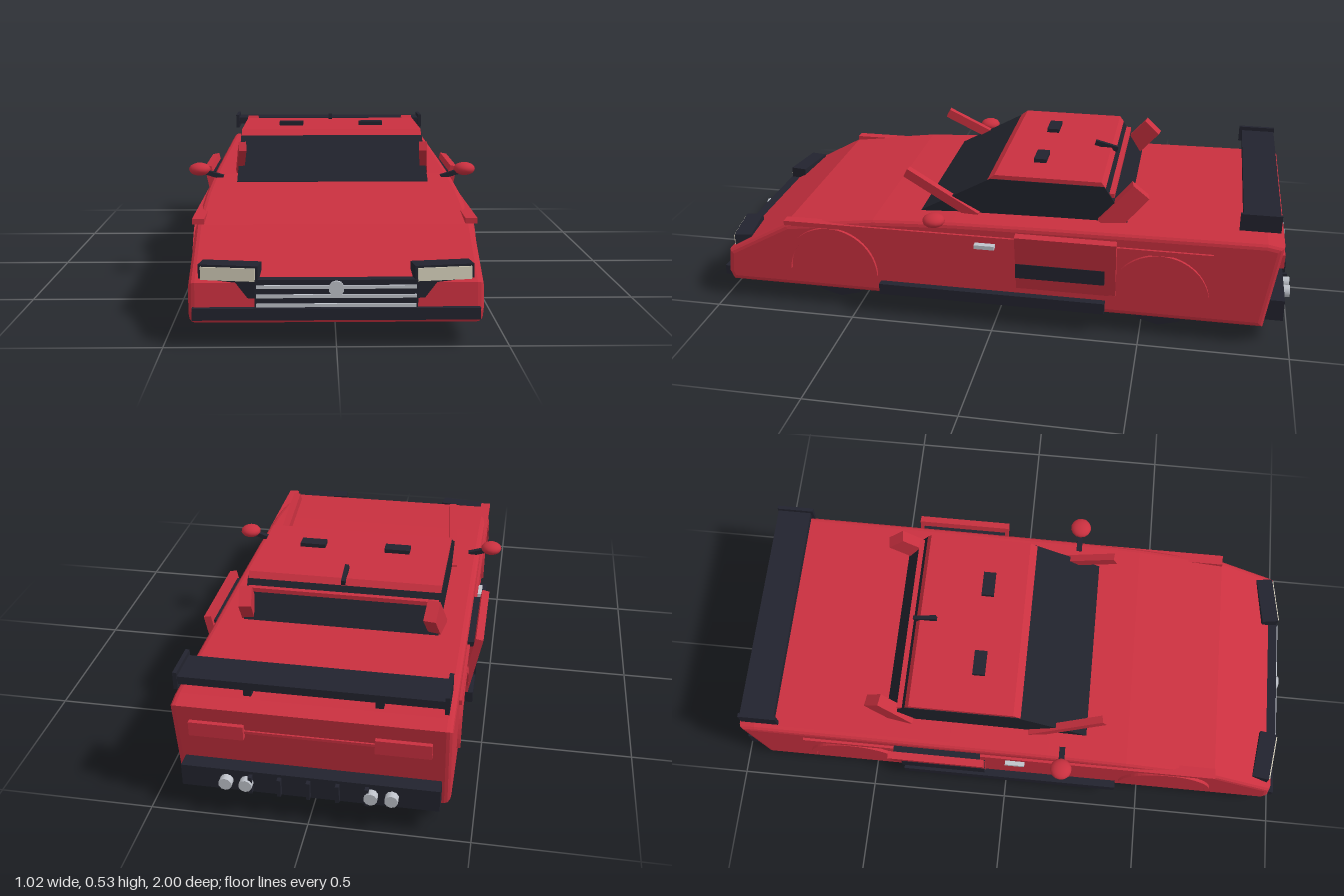
import * as THREE from 'three';

export function createModel() {
  const model = new THREE.Group();
  const mat = (name, color) => {
    const m = new THREE.MeshStandardMaterial({ color });
    m.name = name;
    return m;
  };
  const red = mat('red paint', 0xc9303f);
  const dark = mat('dark trim', 0x22232e);
  const glass = mat('dark glass', 0x20222b);
  const cream = mat('headlight cream', 0xd6d0bb);
  const silver = mat('silver', 0xbfc3cb);

  const add = (name, geo, material, x = 0, y = 0, z = 0) => {
    const m = new THREE.Mesh(geo, material);
    m.name = name;
    m.position.set(x, y, z);
    model.add(m);
    return m;
  };
  // Box given by its extents on each axis
  const box = (name, material, [x0, x1], [y0, y1], [z0, z1]) =>
    add(name, new THREE.BoxGeometry(Math.abs(x1 - x0), y1 - y0, Math.abs(z1 - z0)), material,
      (x0 + x1) / 2, (y0 + y1) / 2, (z0 + z1) / 2);
  // Box stretched between two points
  const bar = (name, material, a, b, w, t) => {
    const p = new THREE.Vector3(...a), q = new THREE.Vector3(...b);
    const m = add(name, new THREE.BoxGeometry(w, t, p.distanceTo(q)), material);
    m.position.copy(p).lerp(q, 0.5);
    m.lookAt(q);
    return m;
  };
  // Side profile of [z, y] points extruded across the car, centred on x = 0
  const across = (shape, width, bevel = 0) => {
    const g = new THREE.ExtrudeGeometry(shape, {
      depth: width - 2 * bevel, bevelEnabled: bevel > 0, bevelThickness: bevel,
      bevelSize: bevel, bevelOffset: -bevel, bevelSegments: 3, curveSegments: 16,
    });
    g.translate(0, 0, -(width - 2 * bevel) / 2);
    return g.rotateY(-Math.PI / 2);
  };
  const profile = pts => new THREE.Shape(pts.map(p => new THREE.Vector2(...p)));

  // Wedge body
  add('body', across(profile([
    [0.97, 0.065], [0.985, 0.1], [0.975, 0.185], [0.75, 0.308], [0.43, 0.35], [0.15, 0.364],
    [-0.2, 0.37], [-0.9, 0.376], [-0.955, 0.366], [-0.91, 0.065],
  ]), 0.856, 0.02), red);

  // Cabin glass and roof
  add('cabinGlass', across(profile([
    [0.285, 0.35], [0.28, 0.36], [0.035, 0.495], [-0.355, 0.495], [-0.445, 0.36], [-0.445, 0.35],
  ]), 0.664), glass);
  add('roof', across(profile([
    [0.045, 0.49], [0.02, 0.51], [-0.345, 0.51], [-0.36, 0.49],
  ]), 0.66), red);
  box('rearWindowStrip', red, [-0.325, 0.325], [0.455, 0.47], [-0.372, -0.39]);
  const fin = box('roofFin', dark, [-0.007, 0.007], [0.505, 0.523], [-0.37, -0.285]);
  fin.rotation.x = -0.25;

  // Spoiler
  box('wing', dark, [-0.405, 0.405], [0.432, 0.458], [-0.935, -0.815]);
  // Grille and bumpers
  box('frontBumper', dark, [-0.415, 0.415], [0.08, 0.115], [0.94, 1]);
  box('grille', dark, [-0.235, 0.235], [0.11, 0.196], [0.94, 0.988]);
  for (const y of [0.122, 0.149, 0.176])
    box('grilleBar', silver, [-0.23, 0.23], [y - 0.005, y + 0.005], [0.985, 0.994]);
  add('badge', new THREE.CylinderGeometry(0.023, 0.023, 0.02, 10).rotateX(Math.PI / 2),
    silver, 0, 0.172, 0.988);
  box('rearBumper', dark, [-0.4, 0.4], [0.085, 0.16], [-0.975, -0.89]);
  box('rearStrip', red, [-0.22, 0.22], [0.283, 0.292], [-0.95, -0.9]);
  for (let i = -2; i <= 2; i++)
    box('diffuserFin', dark, [i * 0.09 - 0.006, i * 0.09 + 0.006], [0.09, 0.15], [-0.992, -0.96]);

  // Arch ring profile
  const arch = new THREE.Shape();
  arch.absarc(0, 0, 0.168, 0, Math.PI, false);
  arch.absarc(0, 0, 0.148, Math.PI, 0, true);

  // Parts mirrored on both sides
  for (const s of [1, -1]) {
    for (const z of [0.588, -0.56]) {
      add('wheel', new THREE.CylinderGeometry(0.14, 0.14, 0.03, 12).rotateZ(Math.PI / 2),
        dark, s * 0.342, 0.14, z);
      add('wheelArch', across(arch, 0.03), red, s * 0.424, 0.14, z);
    }
    box('shoulderStrip', red, [s * 0.4, s * 0.437], [0.308, 0.325], [-0.73, 0.75]);
    box('sideSkirt', dark, [s * 0.4, s * 0.455], [0.078, 0.118], [-0.38, 0.41]);

    // Tilted side scoop with intakes
    const scoop = add('sideScoop', new THREE.BoxGeometry(0.026, 0.215, 0.34), red,
      s * 0.447, 0.25, -0.245);
    scoop.rotation.z = -s * 0.2;
    box('sideIntake', dark, [s * 0.4, s * 0.461], [0.193, 0.246], [-0.378, -0.075]);
    box('upperIntake', dark, [s * 0.4, s * 0.45], [0.318, 0.335], [-0.4, -0.09]);
    box('doorHandle', silver, [s * 0.42, s * 0.45], [0.284, 0.298], [0, 0.07]);

    // Mirrors
    const mirror = add('mirror', new THREE.SphereGeometry(0.038, 14, 10), red, s * 0.47, 0.39, 0.2);
    mirror.scale.y = 0.6;
    const stem = add('mirrorStem', new THREE.BoxGeometry(0.07, 0.016, 0.02), dark,
      s * 0.42, 0.371, 0.2);
    stem.rotation.z = s * 0.3;

    // Raised pillars leaning away from the cabin
    bar('frontPillar', red, [s * 0.337, 0.355, 0.08], [s * 0.308, 0.49, 0.335], 0.026, 0.033);
    bar('rearPillar', red, [s * 0.328, 0.355, -0.365], [s * 0.311, 0.485, -0.476], 0.042, 0.073);
    box('roofVent', dark, [s * 0.106, s * 0.195], [0.505, 0.524], [-0.137, -0.093]);

    // Spoiler ends and posts
    box('wingEndPlate', dark, [s * 0.4, s * 0.413], [0.414, 0.472], [-0.937, -0.805]);
    box('wingPost', dark, [s * 0.19, s * 0.215], [0.365, 0.435], [-0.885, -0.85]);

    // Headlights, swept back towards the outside
    const lamp = new THREE.Group();
    lamp.name = 'headlight';
    const part = (name, geo, m, x, y, z) => {
      const p = new THREE.Mesh(geo, m);
      p.name = name;
      p.position.set(x, y, z);
      lamp.add(p);
    };
    part('headlightHousing', new THREE.BoxGeometry(0.175, 0.095, 0.06), dark, 0, 0, 0);
    part('headlightLens', new THREE.BoxGeometry(0.16, 0.038, 0.012), cream, 0, 0.022, 0.029);
    lamp.position.set(s * 0.308, 0.188, 0.942);
    lamp.rotation.y = s * 0.15;
    model.add(lamp);

    // Tail lights and twin exhausts
    box('tailLight', red, [s * 0.2, s * 0.37], [0.266, 0.314], [-0.962, -0.9]);
    for (const x of [0.193, 0.256])
      add('exhaust', new THREE.CylinderGeometry(0.021, 0.021, 0.07, 10).rotateX(Math.PI / 2),
        silver, s * x, 0.122, -0.965);
  }
  return model;
}
